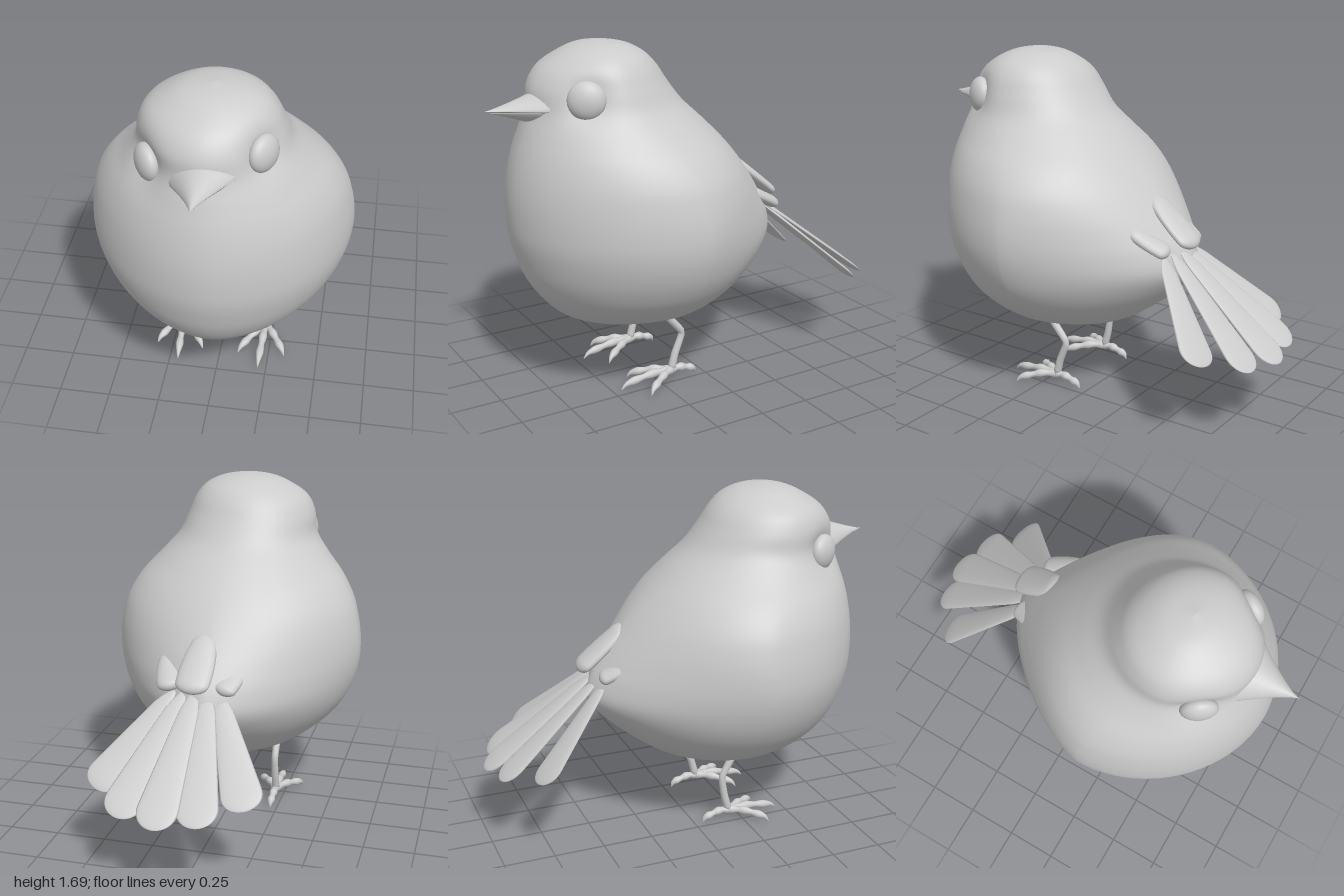
import * as THREE from 'three';

const V = (x, y, z) => new THREE.Vector3(x, y, z);
const material = new THREE.MeshStandardMaterial({ color: 0xcccccc });
const TAU = Math.PI * 2;
const bend = (v, p) => Math.sign(v) * Math.abs(v) ** p; // superellipse helper

// Closed skin over rings: point(t, a) with t along the part and a around it
function loft(name, rows, sides, point) {
  const pos = [], index = [];
  for (let i = 0; i <= rows; i++) {
    for (let j = 0; j < sides; j++) {
      pos.push(...point(i / rows, (j / sides) * TAU).toArray());
      if (i === rows) continue;
      const a = i * sides + j, b = i * sides + ((j + 1) % sides);
      index.push(a, b, a + sides, b, b + sides, a + sides);
    }
  }
  const geometry = new THREE.BufferGeometry();
  geometry.setAttribute('position', new THREE.Float32BufferAttribute(pos, 3));
  geometry.setIndex(index);
  geometry.computeVertexNormals();
  const mesh = new THREE.Mesh(geometry, material);
  mesh.name = name;
  return mesh;
}

// Round limb along points, with a radius that depends on t
function limb(name, points, radius, tension = 0.3) {
  const rows = 20;
  const curve = new THREE.CatmullRomCurve3(points, false, 'catmullrom', tension);
  const f = curve.computeFrenetFrames(rows, false);
  return loft(name, rows, 10, (t, a) => {
    const i = Math.round(t * rows), r = i === 0 || i === rows ? 0 : radius(t);
    return curve.getPointAt(t)
      .addScaledVector(f.normals[i], r * Math.cos(a))
      .addScaledVector(f.binormals[i], r * Math.sin(a));
  });
}

// Flat paddle from base to tip, lying in the plane of the tail
const tailUp = V(0, 0.78, -0.63);
function feather(name, base, tip, width, thickness) {
  const d = tip.clone().sub(base).normalize();
  const s = d.clone().cross(tailUp).normalize();
  const n = d.clone().cross(s);
  return loft(name, 28, 16, (t, a) => {
    const u = Math.sin((t * Math.PI) / 2); // closer rings at the tip
    const round = Math.sqrt(Math.max(0, 1 - Math.max(0, (u - 0.86) / 0.14) ** 2));
    const start = Math.min(1, t * 8);
    const w = width(u) * round * start;
    return base.clone().lerp(tip, u)
      .addScaledVector(s, w * Math.cos(a))
      .addScaledVector(n, thickness * round * start * Math.sin(a));
  });
}

// Eyes sit at slightly different heights because the head is tilted
const eyes = [
  { name: 'leftEye', at: V(0.235, 1.47, 0.62), out: V(0.85, 0.08, 0.52).normalize() },
  { name: 'rightEye', at: V(-0.268, 1.385, 0.64), out: V(-0.83, -0.02, 0.56).normalize() },
];

// Body levels: y, front z, back z, half width, z of widest point, back pointedness, x offset
const levels = [
  [0.305, 0.25, 0.25, 0, 0.25, 1, 0],
  [0.32, 0.44, 0.07, 0.15, 0.25, 1, 0],
  [0.35, 0.58, -0.06, 0.25, 0.25, 1.05, 0],
  [0.4, 0.68, -0.17, 0.36, 0.24, 1.1, 0],
  [0.5, 0.775, -0.31, 0.485, 0.23, 1.2, 0],
  [0.6, 0.835, -0.42, 0.56, 0.22, 1.28, 0],
  [0.7, 0.87, -0.49, 0.605, 0.22, 1.34, 0],
  [0.8, 0.893, -0.47, 0.628, 0.22, 1.34, 0],
  [0.9, 0.9, -0.41, 0.63, 0.22, 1.3, 0],
  [1.0, 0.898, -0.335, 0.615, 0.23, 1.22, 0],
  [1.1, 0.885, -0.255, 0.585, 0.25, 1.15, 0],
  [1.2, 0.862, -0.165, 0.525, 0.29, 1.08, 0],
  [1.3, 0.83, -0.065, 0.435, 0.35, 1.03, 0],
  [1.4, 0.795, 0.04, 0.357, 0.41, 1, -0.005],
  [1.5, 0.78, 0.115, 0.327, 0.44, 1, -0.016],
  [1.58, 0.73, 0.17, 0.29, 0.45, 1, -0.014],
  [1.64, 0.645, 0.235, 0.222, 0.45, 1, 0],
  [1.68, 0.555, 0.32, 0.13, 0.45, 1, 0],
  [1.698, 0.45, 0.45, 0, 0.45, 1, 0],
];

function makeBody() {
  const spline = (i, j, k) => new THREE.CatmullRomCurve3(
    levels.map((l) => V(l[i], l[j], l[k])), false, 'catmullrom', 0.5);
  const side = spline(0, 1, 2), wide = spline(3, 4, 5), shift = spline(6, 6, 6);
  return loft('bodyAndHead', 90, 80, (t, a) => {
    const { x: y, y: front, z: back } = side.getPoint(t);
    const { x: w, y: mid, z: pBack } = wide.getPoint(t);
    const c = Math.cos(a), s = -Math.sin(a);
    const p = s > 0 ? 1.08 : pBack;
    const z = mid + Math.abs(bend(s, p)) * (s > 0 ? front - mid : back - mid);
    const point = V(shift.getPoint(t).x + w * bend(c, p), y, z);
    // shallow eye sockets
    for (const e of eyes) {
      point.addScaledVector(e.out, -0.035 * Math.exp(-((point.distanceTo(e.at) / 0.1) ** 2)));
    }
    return point;
  });
}

function makeBeak() {
  const beak = new THREE.Group();
  beak.name = 'beak';
  const half = (name, width, up, down, length, rise) => loft(name, 20, 24, (t, a) => {
    const k = 1 - t, s = Math.sin(a);
    return V(
      width * k ** 1.25 * Math.cos(a),
      rise * t + (s > 0 ? up : down) * k ** 1.1 * bend(s, 1.35),
      length * t);
  });
  beak.add(half('upperBeak', 0.15, 0.1, 0.014, 0.25, 0.03));
  beak.add(half('lowerBeak', 0.135, 0.005, 0.058, 0.235, 0.022));
  beak.position.set(-0.01, 1.387, 0.75);
  beak.rotation.z = 0.19;
  return beak;
}

function makeTail() {
  const tail = new THREE.Group();
  tail.name = 'tail';
  const tips = [V(-0.295, 0.42, -0.82), V(-0.11, 0.385, -0.965), V(0.08, 0.37, -1.0),
    V(0.265, 0.38, -0.945), V(0.425, 0.425, -0.78)];
  tips.forEach((tip, i) => {
    const base = V(0.04 + (i - 2) * 0.045, 0.85 - 0.012 * Math.abs(i - 2), -0.38);
    tail.add(feather('tailFeather' + (i + 1), base, tip, (u) => 0.03 + 0.077 * u, 0.012));
  });
  // short covert feathers over the root of the tail
  const covert = (name, base, tip, w) =>
    tail.add(feather(name, base, tip, (u) => w * Math.sin(0.5 + 1.5 * u), 0.03));
  covert('middleCovert', V(0.03, 1.06, -0.25), V(0.045, 0.83, -0.52), 0.085);
  covert('leftCovert', V(0.24, 0.93, -0.24), V(0.165, 0.815, -0.45), 0.06);
  covert('rightCovert', V(-0.16, 0.93, -0.24), V(-0.085, 0.815, -0.45), 0.06);
  return tail;
}

function makeLeg(side) {
  const leg = new THREE.Group();
  leg.name = side > 0 ? 'leftLeg' : 'rightLeg';
  const knee = side > 0 ? 0.12 : 0.145;
  leg.add(limb('shank', [V(0, 0.4, 0.23), V(0, 0.33, 0.19), V(0, 0.245, knee),
    V(0, 0.14, 0.16), V(0, 0.045, 0.185)], (t) => 0.017 + 0.004 * Math.abs(2 * t - 1), 0.15));
  // three toes forward, one back, each with a small claw
  const toes = [['innerToe', -0.125, 0.37], ['middleToe', -0.01, 0.46],
    ['outerToe', 0.115, 0.36], ['backToe', 0, 0.04]];
  for (const [name, x, z] of toes) {
    const at = (k, y) => V(x * side * k, y, 0.185 + (z - 0.185) * k);
    leg.add(limb(name, [at(-0.05, 0.055), at(0.35, 0.058), at(0.75, 0.042), at(0.9, 0.032), at(1, 0.006)],
      (t) => (t > 0.8 ? 0.014 * (1 - t) / 0.2 + 0.002 : 0.02 - 0.004 * t + 0.003 * Math.sin(t * 20))));
  }
  leg.position.x = 0.217 * side;
  return leg;
}

export function createModel() {
  const bird = new THREE.Group();
  bird.name = 'bird';
  bird.add(makeBody(), makeBeak(), makeTail(), makeLeg(1), makeLeg(-1));
  for (const { name, at, out } of eyes) {
    const eye = new THREE.Mesh(new THREE.SphereGeometry(1, 32, 24), material);
    eye.name = name;
    eye.scale.set(0.088, 0.088, 0.05);
    eye.position.copy(at);
    eye.quaternion.setFromUnitVectors(V(0, 0, 1), out);
    bird.add(eye);
  }
  return bird;
}
